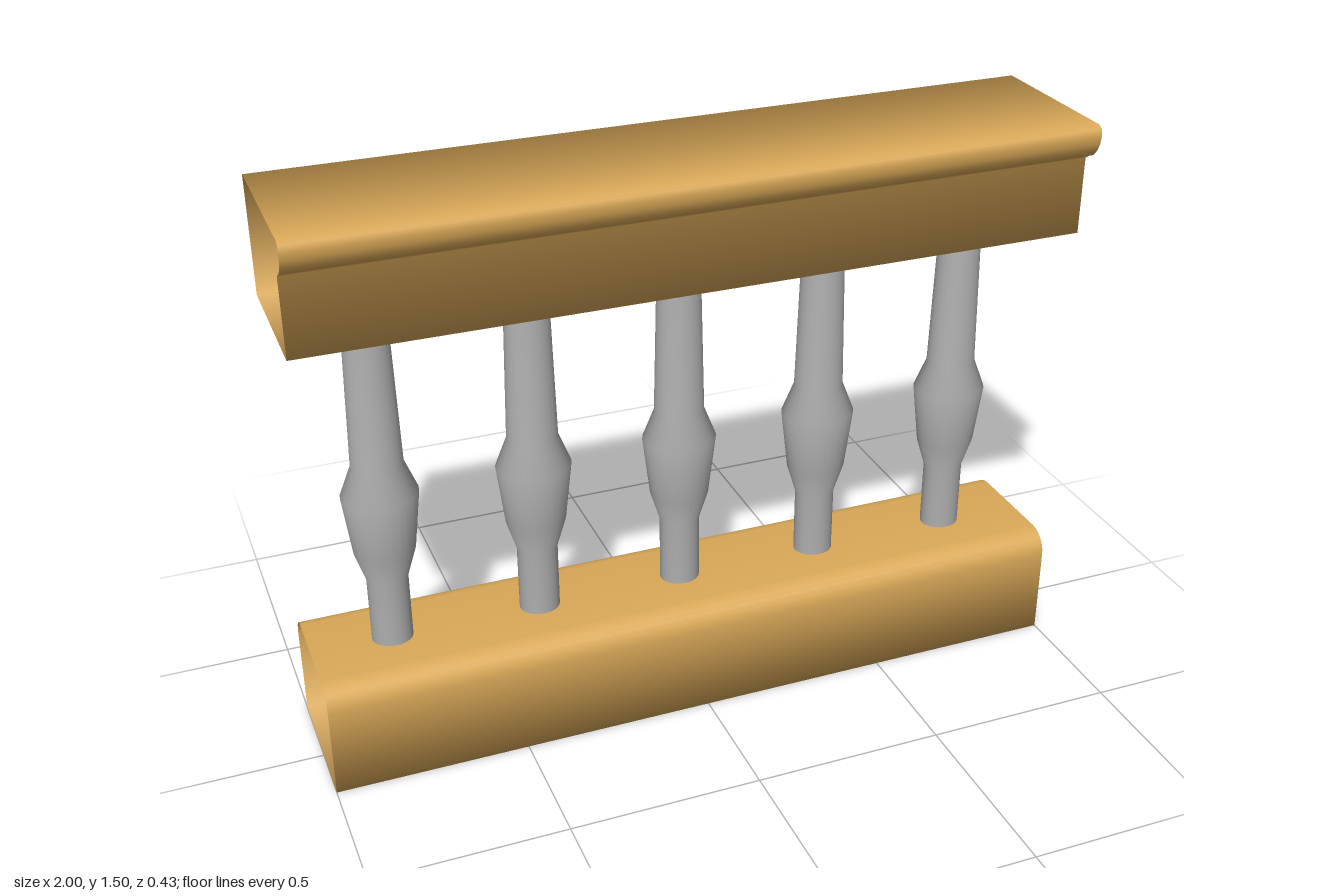
import * as THREE from 'three';

const wood = new THREE.MeshStandardMaterial({ name: 'golden wood', color: 0xdaa958, side: THREE.DoubleSide });
const grey = new THREE.MeshStandardMaterial({ name: 'grey', color: 0xb0b0b0, side: THREE.DoubleSide });

const FRONT = 0.158, BACK = -0.217, MID = (FRONT + BACK) / 2;

// Open-ended rail along x from a closed [z, y] profile (counter-clockwise), softly shaded all round
function makeRail(name, profile) {
  const n = profile.length;
  const edgeNormal = (i) => {
    const a = profile[(i + n) % n], b = profile[(i + 1) % n];
    return new THREE.Vector3(0, a[0] - b[0], b[1] - a[1]).normalize();
  };
  const position = [], normal = [], index = [];
  profile.forEach(([z, y], i) => {
    const v = edgeNormal(i - 1).add(edgeNormal(i)).normalize();
    for (const x of [-1, 1]) {
      position.push(x, y, z);
      normal.push(v.x, v.y, v.z);
    }
    const a = 2 * i, c = 2 * ((i + 1) % n);
    index.push(a, a + 1, c + 1, a, c + 1, c);
  });
  const geo = new THREE.BufferGeometry();
  geo.setAttribute('position', new THREE.Float32BufferAttribute(position, 3));
  geo.setAttribute('normal', new THREE.Float32BufferAttribute(normal, 3));
  geo.setIndex(index);
  const mesh = new THREE.Mesh(geo, wood);
  mesh.name = name;
  return mesh;
}

// Quarter-circle points for a rounded corner
function corner(z, y, r, start) {
  return Array.from({ length: 7 }, (_, i) => {
    const t = start + (i / 6) * Math.PI / 2;
    return [z + r * Math.cos(t), y + r * Math.sin(t)];
  });
}

export function createModel() {
  const group = new THREE.Group();
  group.name = 'balustrade';

  // Bottom rail with rounded top edges
  const r = 0.06;
  group.add(makeRail('bottomRail', [
    [BACK, 0], [FRONT, 0],
    ...corner(FRONT - r, 0.3 - r, r, 0),
    ...corner(BACK + r, 0.3 - r, r, Math.PI / 2),
  ]));

  // Handrail with a nose overhanging the front
  group.add(makeRail('handrail', [
    [BACK, 1.2], [FRONT, 1.2], [FRONT, 1.4],
    [0.172, 1.41], [0.19, 1.418], [0.205, 1.435], [0.214, 1.455],
    [0.217, 1.475], [0.214, 1.492], [0.2, 1.5], [BACK, 1.5],
  ]));

  // Five turned balusters, slightly wider along the rail
  const profile = [
    [0.047, 0.2], [0.047, 0.48], [0.069, 0.56], [0.086, 0.72], [0.058, 0.8], [0.047, 1.3],
  ].map(([x, y]) => new THREE.Vector2(x, y));
  const turned = new THREE.LatheGeometry(profile, 24);
  for (let i = 0; i < 5; i++) {
    const baluster = new THREE.Mesh(turned, grey);
    baluster.name = `baluster${i + 1}`;
    baluster.position.set(-0.79 + i * 0.39, 0, MID);
    baluster.scale.x = 1.12;
    group.add(baluster);
  }
  return group;
}
